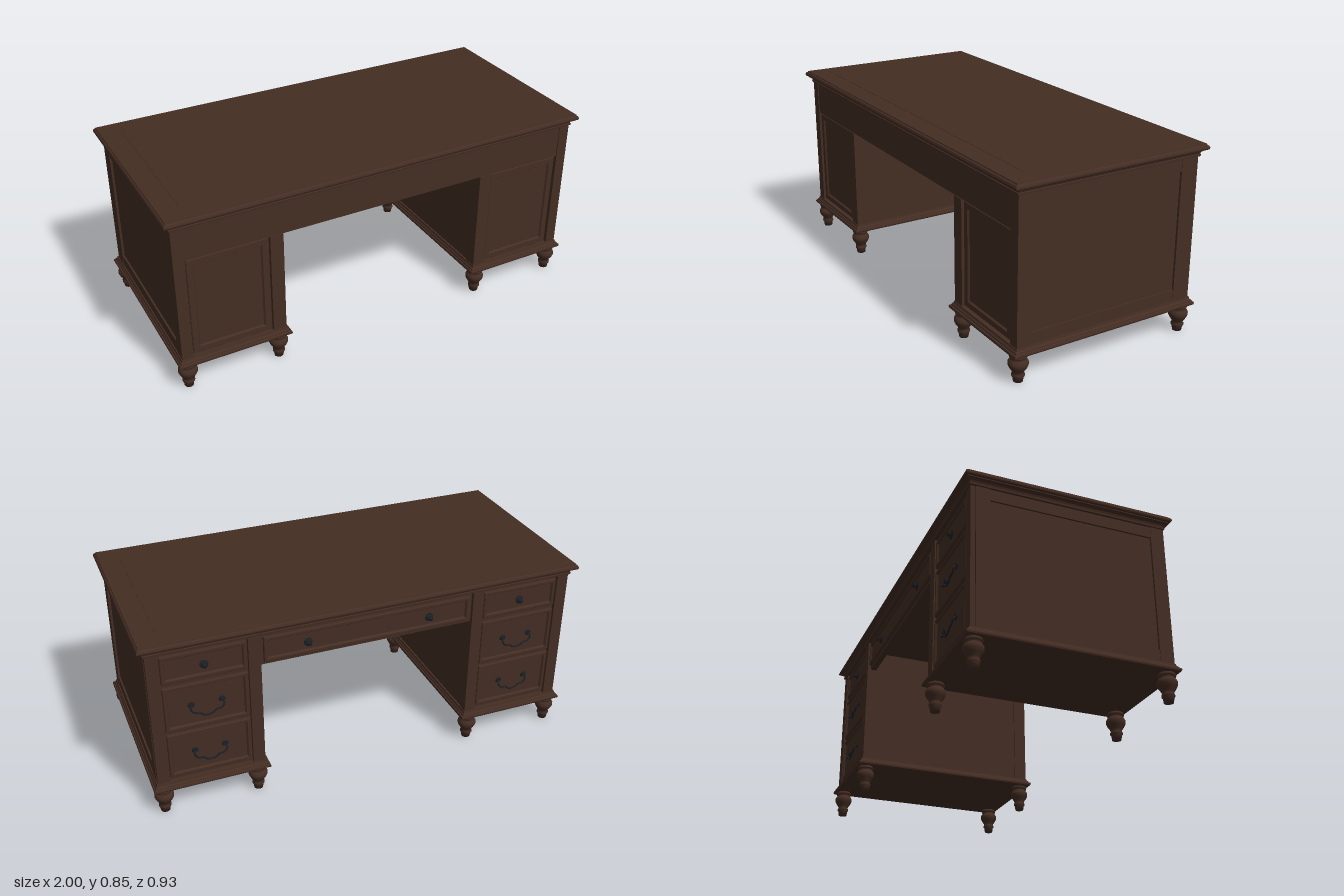
import * as THREE from 'three';

const mat = (name, color, side = THREE.FrontSide) => {
  const m = new THREE.MeshStandardMaterial({ color, side });
  m.name = name;
  return m;
};

// Closed solid through rectangular sections [halfWidth, halfHeight, z]
function rectLoft(sections) {
  const corners = [[-1, -1], [1, -1], [1, 1], [-1, 1]];
  const rings = sections.map(([w, h, z]) => corners.map(([a, b]) => [a * w, b * h, z]));
  const pos = [];
  const quad = (a, b, c, d) => pos.push(...a, ...b, ...c, ...a, ...c, ...d);
  for (let k = 0; k < rings.length - 1; k++) {
    const a = rings[k], b = rings[k + 1];
    for (let i = 0; i < 4; i++) {
      const j = (i + 1) % 4;
      quad(a[i], a[j], b[j], b[i]);
    }
  }
  quad(...rings[0].slice().reverse());
  quad(...rings[rings.length - 1]);
  const g = new THREE.BufferGeometry();
  g.setAttribute('position', new THREE.Float32BufferAttribute(pos, 3));
  g.computeVertexNormals();
  return g;
}

export function createModel() {
  const wood = mat('dark walnut', 0x442d23);
  const metal = mat('dark iron', 0x1c2127);
  const desk = new THREE.Group();
  desk.name = 'pedestalDesk';

  const add = (name, geometry, material = wood, x = 0, y = 0, z = 0, parent = desk) => {
    const m = new THREE.Mesh(geometry, material);
    m.name = name;
    m.position.set(x, y, z);
    parent.add(m);
    return m;
  };
  const box = (name, x0, x1, y0, y1, z0, z1) =>
    add(name, new THREE.BoxGeometry(Math.abs(x1 - x0), y1 - y0, z1 - z0), wood,
      (x0 + x1) / 2, (y0 + y1) / 2, (z0 + z1) / 2);

  // Horizontal moulding from a profile of [overhang, y] around a rectangle
  const moulding = (name, x, hw, hd, profile) =>
    add(name, rectLoft(profile.map(([o, y]) => [hw + o, hd + o, y])).rotateX(-Math.PI / 2), wood, x);

  // Board with a raised border, a bevel and a sunken field, facing +z
  const framedBoard = (name, w, h, border, x, y, z) => {
    const a = w / 2, b = h / 2;
    return add(name, rectLoft([
      [a, b, 0], [a, b, 0.013], [a - 0.003, b - 0.003, 0.016],
      [a - border, b - border, 0.016], [a - border - 0.006, b - border - 0.006, 0.008],
    ]), wood, x, y, z);
  };

  // Table top with stepped edge, cove below and a shallow inlaid field
  moulding('tableTop', 0, 0.97, 0.435, [
    [-0.005, 0.79], [0.005, 0.793], [0.006, 0.802], [0.003, 0.804], [0.006, 0.811], [0.013, 0.817],
    [0.019, 0.819], [0.019, 0.823], [0.028, 0.824], [0.03, 0.828], [0.03, 0.833],
    [0.027, 0.84], [0.021, 0.844], [0.02, 0.848],
  ]);
  moulding('topField', 0, 0.9, 0.365, [[0, 0.845], [0, 0.849], [-0.002, 0.85]]);

  // Knee space: ceiling and front apron
  box('kneeCeiling', -0.5, 0.5, 0.74, 0.795, -0.41, 0.42);
  box('frontApron', -0.92, 0.92, 0.64, 0.795, 0.41, 0.431);

  // Hardware: round knob and drop pull, both facing the back
  const knobProfile = [[0, 0], [0.019, 0], [0.019, 0.003], [0.006, 0.005], [0.005, 0.012],
    [0.011, 0.015], [0.011, 0.019], [0, 0.022]].map(p => new THREE.Vector2(...p));
  const knobGeo = new THREE.LatheGeometry(knobProfile, 16).rotateX(-Math.PI / 2);
  const plateGeo = new THREE.CylinderGeometry(0.012, 0.015, 0.005, 12).rotateX(-Math.PI / 2);
  const bailGeo = new THREE.TubeGeometry(new THREE.CatmullRomCurve3([
    [-0.066, 0, 0], [-0.072, -0.012, -0.011], [-0.058, -0.032, -0.014], [-0.034, -0.036, -0.014],
    [-0.02, -0.048, -0.014], [0, -0.052, -0.014], [0.02, -0.048, -0.014], [0.034, -0.036, -0.014],
    [0.058, -0.032, -0.014], [0.072, -0.012, -0.011], [0.066, 0, 0],
  ].map(p => new THREE.Vector3(...p))), 40, 0.0042, 6);
  const knob = (x, y) => add('knob', knobGeo, metal, x, y, -0.425);
  const pull = (x, y) => {
    const g = new THREE.Group();
    g.name = 'dropPull';
    g.position.set(x, y, -0.427);
    add('bail', bailGeo, metal, 0, 0, 0, g);
    for (const s of [1, -1]) add('pullPlate', plateGeo, metal, s * 0.066, 0, 0, g);
    desk.add(g);
  };
  const drawer = (name, w, h, x, y) => {
    framedBoard(name, w, h, 0.014, x, y, -0.416).rotation.y = Math.PI;
  };

  // Wide centre drawer
  box('centreDrawerRail', -0.5, 0.5, 0.64, 0.795, -0.418, -0.39);
  drawer('centreDrawer', 0.95, 0.118, 0, 0.714);
  for (const s of [1, -1]) knob(s * 0.28, 0.709);

  // Turned foot
  const footGeo = new THREE.LatheGeometry([
    [0, 0], [0.02, 0], [0.023, 0.022], [0.027, 0.025], [0.027, 0.033], [0.023, 0.037], [0.026, 0.047],
    [0.036, 0.062], [0.042, 0.075], [0.042, 0.087], [0.036, 0.098], [0.028, 0.104],
    [0.036, 0.109], [0.038, 0.115], [0.035, 0.121], [0.03, 0.127],
  ].map(p => new THREE.Vector2(...p)), 24);

  for (const s of [1, -1]) {
    // Pedestal carcass
    box('pedestalCarcass', s * 0.495, s * 0.96, 0.15, 0.795, -0.418, 0.418);
    moulding('baseMoulding', s * 0.73, 0.24, 0.435, [
      [0.013, 0.123], [0.018, 0.126], [0.02, 0.132], [0.018, 0.139], [0.012, 0.141],
      [0.011, 0.146], [0.005, 0.152], [0.003, 0.16],
    ]);

    // Front and back posts
    box('frontOuterPost', s * 0.92, s * 0.97, 0.155, 0.795, 0.375, 0.435);
    box('frontInnerPost', s * 0.49, s * 0.55, 0.155, 0.64, 0.375, 0.435);
    box('sideFrontStile', s * 0.95, s * 0.97, 0.155, 0.795, 0.373, 0.43);
    box('sideBackStile', s * 0.95, s * 0.97, 0.155, 0.795, -0.412, -0.35);
    box('backOuterPost', s * 0.915, s * 0.968, 0.155, 0.795, -0.434, -0.414);
    box('backInnerPost', s * 0.49, s * 0.543, 0.155, 0.795, -0.434, -0.39);

    // Side rails around the sunken side panel
    box('sideTopRail', s * 0.95, s * 0.968, 0.74, 0.795, -0.35, 0.373);
    box('sideBottomRail', s * 0.95, s * 0.968, 0.155, 0.212, -0.35, 0.373);

    // Front panel in its frame
    framedBoard('frontPanel', 0.36, 0.47, 0.028, s * 0.735, 0.4, 0.411);

    // Drawers on the back
    const x = s * 0.729;
    drawer('topDrawer', 0.362, 0.13, x, 0.71);
    drawer('middleDrawer', 0.362, 0.215, x, 0.517);
    drawer('bottomDrawer', 0.362, 0.215, x, 0.285);
    knob(x, 0.705);
    pull(x, 0.52);
    pull(x, 0.29);

    // Feet
    for (const fx of [0.52, 0.943])
      for (const fz of [0.41, -0.41]) add('foot', footGeo, wood, s * fx, 0, fz);
  }
  return desk;
}
